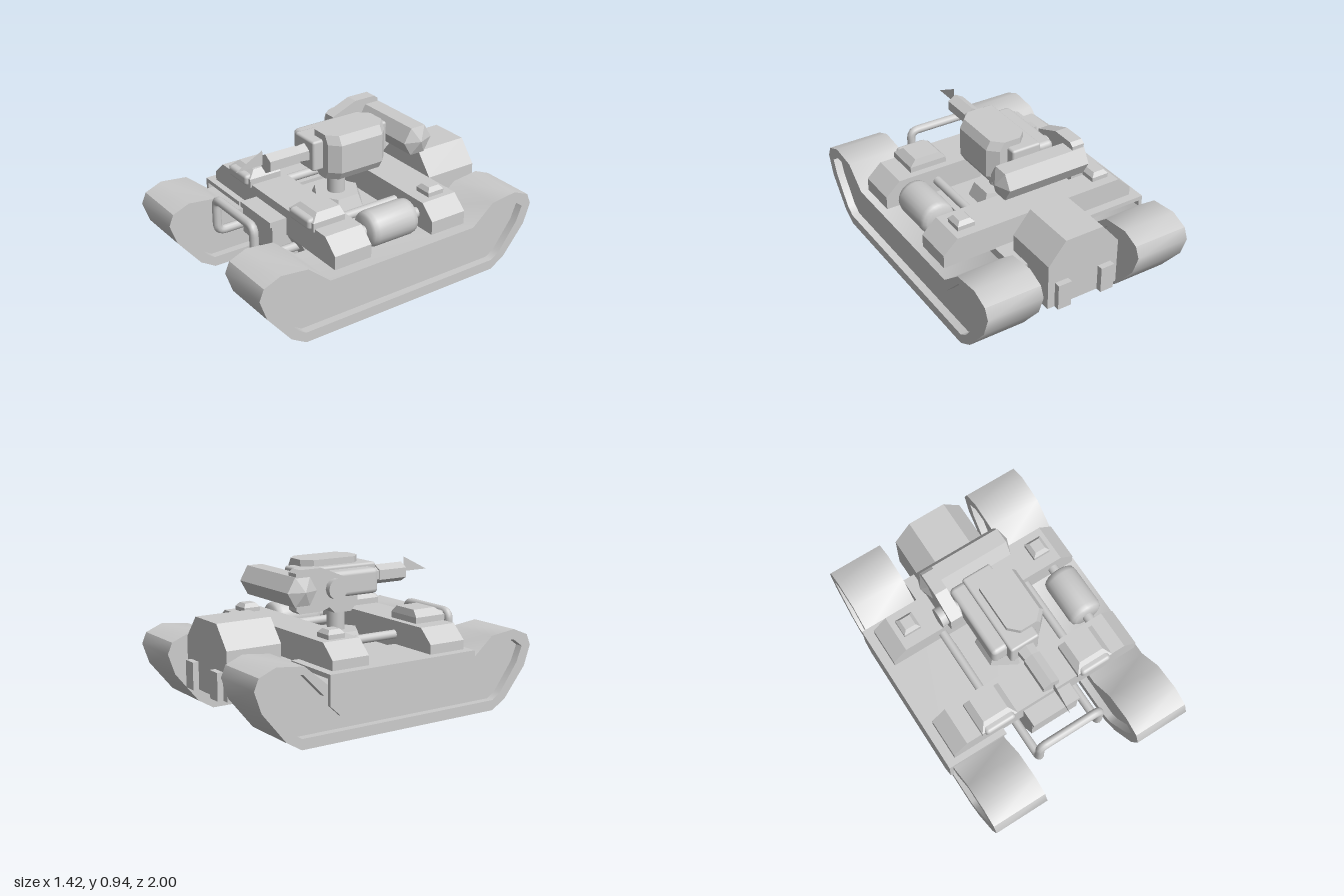
import * as THREE from 'three';
import { toCreasedNormals } from 'three/addons/utils/BufferGeometryUtils.js';
import { RoundedBoxGeometry } from 'three/addons/geometries/RoundedBoxGeometry.js';

const CX = 0.0125; // middle of the vehicle across x
const smooth = new THREE.MeshStandardMaterial({ color: 0xcccccc });
const flat = new THREE.MeshStandardMaterial({ color: 0xcccccc, flatShading: true });
const thin = new THREE.MeshStandardMaterial({ color: 0xcccccc, side: THREE.DoubleSide });

export function createModel() {
  const model = new THREE.Group();
  model.name = 'tank';

  const add = (name, geometry, material = flat, parent = model) => {
    const mesh = new THREE.Mesh(geometry, material);
    mesh.name = name;
    parent.add(mesh);
    return mesh;
  };
  const toShape = (pts) => new THREE.Shape(pts.map(([a, b]) => new THREE.Vector2(a, b)));
  const box = (name, x0, x1, y0, y1, z0, z1, parent) =>
    add(name, new THREE.BoxGeometry(x1 - x0, y1 - y0, z1 - z0)
      .translate((x0 + x1) / 2, (y0 + y1) / 2, (z0 + z1) / 2), flat, parent);
  const roundBox = (name, x0, x1, y0, y1, z0, z1, r, parent) =>
    add(name, new RoundedBoxGeometry(x1 - x0, y1 - y0, z1 - z0, 2, r)
      .translate((x0 + x1) / 2, (y0 + y1) / 2, (z0 + z1) / 2), smooth, parent);
  // (z, y) outline swept across x
  const sweepX = (shape, x0, x1) =>
    new THREE.ExtrudeGeometry(shape, { depth: x1 - x0, bevelEnabled: false })
      .rotateY(-Math.PI / 2).translate(x1, 0, 0);
  // (x, y) outline swept along z
  const sweepZ = (shape, z0, z1) =>
    new THREE.ExtrudeGeometry(shape, { depth: z1 - z0, bevelEnabled: false }).translate(0, 0, z0);
  // stacked cross-sections, all with the same number of points, counter-clockwise from above
  const loft = (rings) => {
    const n = rings[0].length, pos = rings.flat(2), idx = [];
    for (let r = 0; r < rings.length - 1; r++)
      for (let i = 0; i < n; i++) {
        const a = r * n + i, b = r * n + (i + 1) % n;
        idx.push(a, b, b + n, a, b + n, a + n);
      }
    const top = (rings.length - 1) * n;
    for (let i = 1; i < n - 1; i++) idx.push(0, i + 1, i, top, top + i, top + i + 1);
    const g = new THREE.BufferGeometry();
    g.setAttribute('position', new THREE.Float32BufferAttribute(pos, 3));
    g.setIndex(idx);
    const out = g.toNonIndexed();
    out.computeVertexNormals();
    return out;
  };
  const octagon = (x0, x1, y, z0, z1, c) => [
    [x0, y, z1 - c], [x0 + c, y, z1], [x1 - c, y, z1], [x1, y, z1 - c],
    [x1, y, z0 + c], [x1 - c, y, z0], [x0 + c, y, z0], [x0, y, z0 + c]];
  const rect = (x0, x1, y, z0, z1) => [[x0, y, z1], [x1, y, z1], [x1, y, z0], [x0, y, z0]];
  const mirrorZ = (half) => [...half, ...half.map(([z, y]) => [-z, y]).reverse()];

  // Tracks: belt ring with a recessed side panel on both faces
  const beltOuter = mirrorZ([[0.7, 0], [0.8, 0.06], [0.955, 0.25], [1, 0.38], [0.97, 0.45],
    [0.86, 0.495], [0.68, 0.475], [0.53, 0.35]]);
  const beltInner = mirrorZ([[0.7, 0.065], [0.76, 0.105], [0.89, 0.28], [0.93, 0.38],
    [0.86, 0.43], [0.69, 0.43], [0.55, 0.285]]);
  for (const [side, x0, x1] of [['right', -0.685, -0.32], ['left', 0.345, 0.71]]) {
    const belt = toShape(beltOuter);
    belt.holes.push(new THREE.Path(beltInner.map(([z, y]) => new THREE.Vector2(z, y))));
    add(side + 'TrackBelt', toCreasedNormals(sweepX(belt, x0, x1), 0.75), smooth);
    add(side + 'TrackPanel', sweepX(toShape(beltInner), x0 + 0.05, x1 - 0.05));
  }

  // Hull with sloping nose
  add('hull', sweepX(toShape([[-0.7, 0.39], [-0.7, 0.3], [-0.55, 0.165], [0.36, 0.165],
    [0.48, 0.39]]), -0.31, 0.335));
  add('noseBlock', sweepX(toShape([[0.3, 0.165], [0.48, 0.165], [0.58, 0.29], [0.58, 0.465],
    [0.3, 0.465]]), -0.155, 0.18));
  box('noseCap', -0.155, 0.18, 0.465, 0.5, 0.4, 0.595);

  // Side skirt over the right track
  box('skirtTop', -0.715, -0.305, 0.385, 0.412, -0.53, 0.52);
  add('skirtSide', sweepX(toShape([[-0.53, 0.412], [-0.53, 0.23], [-0.46, 0.165],
    [0.45, 0.165], [0.52, 0.23], [0.52, 0.412]]), -0.715, -0.69));

  // Cross decks at front and back
  const deck = toShape([[-0.655, 0.385], [0.68, 0.385], [0.68, 0.47], [0.585, 0.558],
    [-0.56, 0.558], [-0.655, 0.47]]);
  add('frontDeck', sweepZ(deck, 0.225, 0.48));
  add('backDeck', sweepZ(deck, -0.475, -0.225));

  // Headlights and hatches, mirrored about the centre line
  for (const s of [-1, 1]) {
    const hx = CX + s * 0.344, kx = CX + s * 0.478;
    add('headlightHousing', loft([
      rect(hx - 0.125, hx + 0.125, 0.54, 0.27, 0.49),
      rect(hx - 0.125, hx + 0.125, 0.595, 0.27, 0.49),
      rect(hx - 0.085, hx + 0.085, 0.638, 0.28, 0.44)]));
    roundBox('headlightLens', hx - 0.105, hx + 0.105, 0.543, 0.615, 0.44, 0.51, 0.022);
    add('hatch', loft([
      rect(kx - 0.058, kx + 0.058, 0.55, -0.415, -0.3),
      rect(kx - 0.058, kx + 0.058, 0.585, -0.415, -0.3),
      rect(kx - 0.035, kx + 0.035, 0.61, -0.395, -0.32)]));
  }

  // Pipes between the decks and the side drum
  for (const [x, r] of [[-0.297, 0.028], [0.322, 0.028], [0.528, 0.034]])
    add('pipe', new THREE.CylinderGeometry(r, r, 0.46, 16).rotateX(Math.PI / 2)
      .translate(x, 0.472, 0), smooth);
  const drum = [[0, -0.168], [0.085, -0.168], [0.105, -0.155], [0.112, -0.125],
    [0.112, 0.125], [0.105, 0.155], [0.085, 0.168], [0, 0.168]];
  add('sideDrum', toCreasedNormals(new THREE.LatheGeometry(
    drum.map(([r, h]) => new THREE.Vector2(r, h)), 24).rotateX(Math.PI / 2)
    .translate(0.528, 0.475, 0), 0.9), smooth);

  // Rear engine box with two tow hooks
  add('engineBox', sweepZ(toShape([[-0.23, 0.2], [0.255, 0.2], [0.255, 0.5], [0.14, 0.64],
    [-0.115, 0.64], [-0.23, 0.5]]), -0.912, -0.55));
  for (const s of [-1, 1]) {
    const x = CX + s * 0.15;
    box('towHook', x - 0.045, x + 0.045, 0.2, 0.37, -0.95, -0.9);
  }

  // Bent front guard bar
  const guard = new THREE.CurvePath();
  const stops = [[-0.203, 0.32, 0.42], [-0.203, 0.32, 0.735], [-0.203, 0.54, 0.735],
    [0.228, 0.54, 0.735], [0.228, 0.32, 0.735], [0.228, 0.32, 0.42]]
    .map((p) => new THREE.Vector3(...p));
  let from = stops[0];
  for (let i = 1; i < stops.length - 1; i++) {
    const a = stops[i].clone().add(stops[i - 1].clone().sub(stops[i]).setLength(0.05));
    const b = stops[i].clone().add(stops[i + 1].clone().sub(stops[i]).setLength(0.05));
    guard.add(new THREE.LineCurve3(from, a));
    guard.add(new THREE.QuadraticBezierCurve3(a, stops[i], b));
    from = b;
  }
  guard.add(new THREE.LineCurve3(from, stops[5]));
  add('frontGuard', new THREE.TubeGeometry(guard, 90, 0.028, 10), smooth);

  // Turret mount
  const turret = new THREE.Group();
  turret.name = 'turret';
  model.add(turret);
  add('turretBase', new THREE.CylinderGeometry(0.15, 0.19, 0.1, 6).translate(CX, 0.43, 0), flat, turret);
  add('turretPost', new THREE.CylinderGeometry(0.057, 0.057, 0.2, 16).translate(CX, 0.54, 0), smooth, turret);
  add('turretCollar', loft([rect(-0.07, 0.095, 0.6, -0.06, 0.06),
    rect(-0.07, 0.095, 0.655, -0.12, 0.11), rect(-0.07, 0.095, 0.71, -0.12, 0.11)]), flat, turret);

  // Turret body, receiver and side pod
  add('turretBody', loft([
    octagon(0.01, 0.19, 0.65, -0.255, 0.165, 0.06), octagon(-0.04, 0.22, 0.7, -0.255, 0.165, 0.06),
    octagon(-0.04, 0.22, 0.88, -0.255, 0.165, 0.06),
    octagon(-0.04, 0.19, 0.935, -0.255, 0.165, 0.06)]), flat, turret);
  roundBox('receiver', -0.088, 0.108, 0.7, 0.895, -0.315, 0.235, 0.015, turret);
  roundBox('sidePod', -0.185, -0.07, 0.715, 0.875, -0.31, 0.19, 0.03, turret);

  // Barrel with its sight blade
  const along = (name, r0, r1, z0, z1) =>
    add(name, new THREE.CylinderGeometry(r1, r0, z1 - z0, 6).rotateX(Math.PI / 2)
      .translate(CX, 0.797, (z0 + z1) / 2), flat, turret);
  along('barrelRoot', 0.066, 0.05, 0.2, 0.33);
  along('barrel', 0.062, 0.062, 0.3, 0.51);
  add('sightBlade', new THREE.ShapeGeometry(toShape([[0.53, 0.795], [0.715, 0.795], [0.53, 0.89]]))
    .rotateY(-Math.PI / 2).translate(CX, 0, 0), thin, turret);

  // Hexagonal cross tube with pointed ends
  const across = (name, r0, r1, x0, x1, z, sides, material = flat) =>
    add(name, new THREE.CylinderGeometry(r0, r1, x1 - x0, sides).rotateZ(Math.PI / 2)
      .translate((x0 + x1) / 2, 0.8, z), material, turret);
  across('crossTube', 0.103, 0.103, -0.28, 0.27, -0.43, 6);
  across('leftTubeTip', 0.103, 0.001, 0.27, 0.308, -0.43, 6);
  across('rightTubeTip', 0.001, 0.103, -0.315, -0.28, -0.43, 6);

  // Bracket holding the tube and the side sensor
  add('tubeBracket', sweepX(toShape([[-0.475, 0.69], [-0.45, 0.67], [-0.3, 0.67], [-0.13, 0.73],
    [-0.125, 0.86], [-0.3, 0.93], [-0.45, 0.93], [-0.475, 0.91]]), -0.282, -0.2), flat, turret);
  across('sensor', 0.065, 0.05, -0.325, -0.16, -0.21, 12, smooth);
  return model;
}
